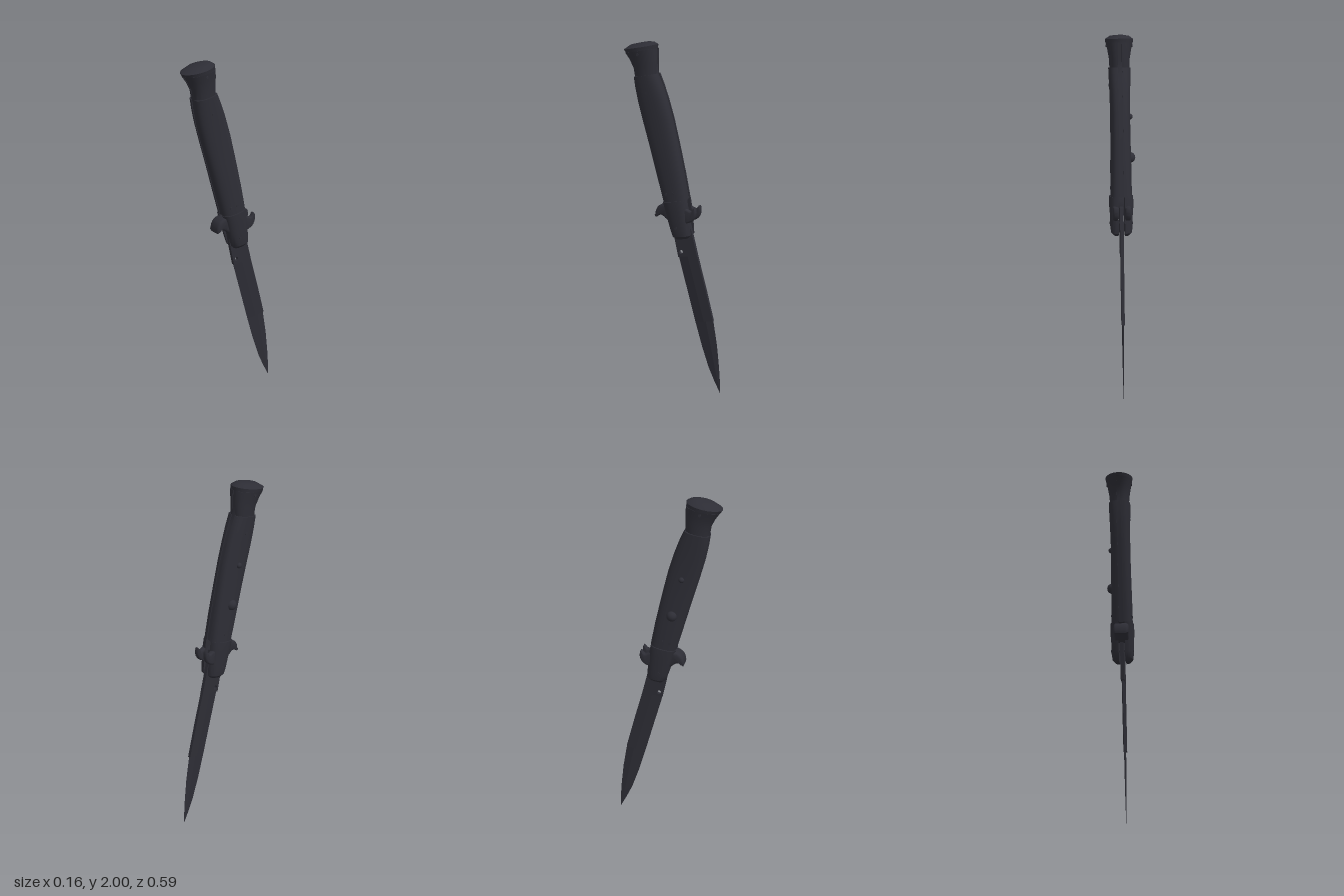
import * as THREE from 'three';
import { toCreasedNormals } from 'three/addons/utils/BufferGeometryUtils.js';

// Station: [zFront, yFront, zBack, yBack, halfWidth]; listed from bottom to top.
// ring(w) gives [x, u] points from the back round +x; u runs -1 (back) to 1 (front).
function loft(stations, ring, flip = false, crease = 0.6) {
  const pos = [], idx = [];
  const tri = (a, b, c) => (flip ? idx.push(a, c, b) : idx.push(a, b, c));
  const put = ([zf, yf, zb, yb], x, u) =>
    pos.push(x, (yf + yb) / 2 + (u * (yf - yb)) / 2, (zf + zb) / 2 + (u * (zf - zb)) / 2);
  const n = ring(1).length, last = stations.length - 1;
  for (const s of stations) for (const [x, u] of ring(s[4])) put(s, x, u);
  for (let i = 0; i < last; i++) {
    for (let j = 0; j < n; j++) {
      const a = i * n + j, b = i * n + ((j + 1) % n);
      tri(a, a + n, b);
      tri(b, a + n, b + n);
    }
  }
  // end caps
  for (const end of [0, last]) {
    const pts = ring(stations[end][4]);
    put(stations[end], pts.reduce((t, p) => t + p[0], 0) / n, 0);
    const c = pos.length / 3 - 1;
    for (let j = 0; j < n; j++) {
      const a = end * n + j, b = end * n + ((j + 1) % n);
      if (end === 0) tri(c, a, b); else tri(c, b, a);
    }
  }
  const g = new THREE.BufferGeometry();
  g.setAttribute('position', new THREE.Float32BufferAttribute(pos, 3));
  g.setIndex(idx);
  return toCreasedNormals(g, crease);
}

// Half of a superellipse, lying beyond the gap at the middle
const halfRing = (gap, e, side) => (w) => {
  const pts = [];
  for (let i = 0; i <= 14; i++) {
    const a = -Math.PI / 2 + (Math.PI * i) / 14, s = Math.sin(a);
    const c = i === 0 || i === 14 ? 0 : Math.cos(a);
    pts.push([side * (gap + (w - gap) * c ** (2 / e)), Math.sign(s) * Math.abs(s) ** (2 / e)]);
  }
  return pts;
};

const ovalRing = (w) => Array.from({ length: 20 }, (_, i) => {
  const a = -Math.PI / 2 + (Math.PI * 2 * i) / 20;
  return [w * Math.cos(a), Math.sin(a)];
});

// Plate with a side outline of [z, y] points, from x0 to x1
function plate(shape, x0, x1, bevel = 0) {
  const g = new THREE.ExtrudeGeometry(shape, {
    depth: x1 - x0 - 2 * bevel, bevelEnabled: bevel > 0, bevelSize: bevel,
    bevelOffset: -bevel, bevelThickness: bevel, bevelSegments: 3, curveSegments: 10,
  });
  g.translate(0, 0, x0 + bevel).rotateY(Math.PI / 2);
  return toCreasedNormals(g, 0.6);
}
const outline = (pts) => new THREE.Shape(pts.map(([z, y]) => new THREE.Vector2(-z, y)));
const curved = (pts) => outline(
  new THREE.CatmullRomCurve3(pts.map(([z, y]) => new THREE.Vector3(z, y, 0)), true)
    .getPoints(32).slice(0, -1).map((p) => [p.x, p.y]));

export function createModel() {
  const model = new THREE.Group();
  model.name = 'foldingKnife';
  const black = new THREE.MeshStandardMaterial({ color: 0x2d2d35 });
  black.name = 'blackened steel';
  const add = (name, geometry) => {
    const m = new THREE.Mesh(geometry, black);
    m.name = name;
    model.add(m);
    return m;
  };

  const scale = [
    [0.05, 1.11, -0.094, 1.135, 0.06], [0.09, 1.25, -0.068, 1.27, 0.059],
    [0.138, 1.42, -0.03, 1.44, 0.056], [0.176, 1.55, 0.004, 1.58, 0.055],
    [0.206, 1.66, 0.038, 1.69, 0.057], [0.222, 1.74, 0.066, 1.765, 0.06],
    [0.23, 1.80, 0.093, 1.825, 0.062],
  ];
  const bolster = [
    [-0.025, 0.90, -0.1, 0.912, 0.042], [-0.008, 0.915, -0.115, 0.93, 0.058],
    [0.004, 0.95, -0.113, 0.965, 0.063], [0.02, 1.0, -0.107, 1.02, 0.063],
    [0.036, 1.06, -0.1, 1.085, 0.068], [0.052, 1.11, -0.092, 1.135, 0.067],
  ];
  const pommel = [
    [0.225, 1.795, 0.098, 1.82, 0.055], [0.235, 1.85, 0.097, 1.875, 0.058],
    [0.258, 1.895, 0.098, 1.925, 0.066], [0.284, 1.932, 0.1, 1.962, 0.075],
  ];

  // Handle built as mirrored halves with a slot along the middle
  for (const [side, label] of [[1, 'left'], [-1, 'right']]) {
    const flip = side < 0;
    add(label + 'HandleScale', loft(scale, halfRing(0.012, 2.5, side), flip));
    add(label + 'Bolster', loft(bolster, halfRing(0.018, 2.5, side), flip));
    add(label + 'Pommel', loft(pommel, halfRing(0.01, 2.1, side), flip));
  }
  add('pommelCap', loft([
    [0.286, 1.932, 0.1, 1.962, 0.076], [0.296, 1.947, 0.099, 1.983, 0.079],
    [0.255, 1.975, 0.118, 1.994, 0.054], [0.2, 1.988, 0.145, 1.997, 0.02],
  ], ovalRing));

  // Inner spine, set slightly below the scales
  const spine = [...scale, ...pommel.slice(1)];
  add('handleSpine', plate(outline([
    ...spine.map((s) => [s[0] - 0.004, s[1]]),
    ...spine.map((s) => [s[2] + 0.004, s[3]]).reverse(),
  ]), -0.0125, 0.0125));

  // Guard: front horn curls down, the split back horn curls up
  add('frontGuardHorn', plate(curved([
    [0.0, 1.11], [0.045, 1.1], [0.08, 1.082], [0.097, 1.05], [0.095, 1.016],
    [0.078, 1.03], [0.055, 1.03], [0.03, 1.012], [0.0, 1.0],
  ]), -0.042, 0.042, 0.014));
  const backHorn = curved([
    [-0.06, 1.1], [-0.095, 1.085], [-0.125, 1.075], [-0.146, 1.096],
    [-0.154, 1.06], [-0.14, 1.025], [-0.115, 1.008], [-0.06, 1.0],
  ]);
  add('backGuardHornLeft', plate(backHorn, 0.018, 0.05, 0.01));
  add('backGuardHornRight', plate(backHorn, -0.05, -0.018, 0.01));

  // Blade root with a round hole
  const root = outline([
    [-0.033, 0.79], [-0.149, 0.81], [-0.12, 0.926], [-0.085, 1.07], [0.02, 1.05], [-0.005, 0.92],
  ]);
  root.holes.push(new THREE.Path().absarc(0.05, 0.822, 0.012, 0, Math.PI * 2, true));
  add('bladeRoot', plate(root, -0.01, 0.01));

  // Ground blade with a thick back, then a double-edged point
  add('blade', loft([
    [-0.138, 0.412, -0.249, 0.435, 0.0085], [-0.086, 0.60, -0.201, 0.62, 0.009],
    [-0.033, 0.79, -0.149, 0.81, 0.009],
  ], (w) => [[w, -1], [w, 0], [0, 1], [-w, 0], [-w, -1]], false, 0.1));
  add('bladePoint', loft([
    [-0.294, 0, -0.296, 0.004, 0.0005], [-0.258, 0.07, -0.293, 0.08, 0.002],
    [-0.222, 0.148, -0.287, 0.16, 0.0035], [-0.18, 0.27, -0.273, 0.29, 0.005],
    [-0.138, 0.412, -0.249, 0.435, 0.006],
  ], (w) => [[0, -1], [w, -0.2], [0, 1], [-w, -0.2]], false, 0.1));

  // Release button and safety stud on the right side
  for (const [name, x, y, z, r] of [
    ['releaseButton', -0.052, 1.33, 0.033, 0.03], ['safetyStud', -0.054, 1.55, 0.087, 0.016],
  ]) add(name, new THREE.SphereGeometry(r, 16, 12)).position.set(x, y, z);

  // Pins through the handle
  for (const [z, y, x] of [
    [0.185, 1.93, 0.074], [0.138, 1.72, 0.0605], [0.065, 1.635, 0.05],
    [0.02, 1.16, 0.059], [-0.022, 1.17, 0.061], [-0.042, 0.97, 0.065],
  ]) {
    const pin = new THREE.CylinderGeometry(0.008, 0.008, 2 * x, 12).rotateZ(Math.PI / 2);
    add('handlePin', pin).position.set(0, y, z);
  }
  return model;
}
